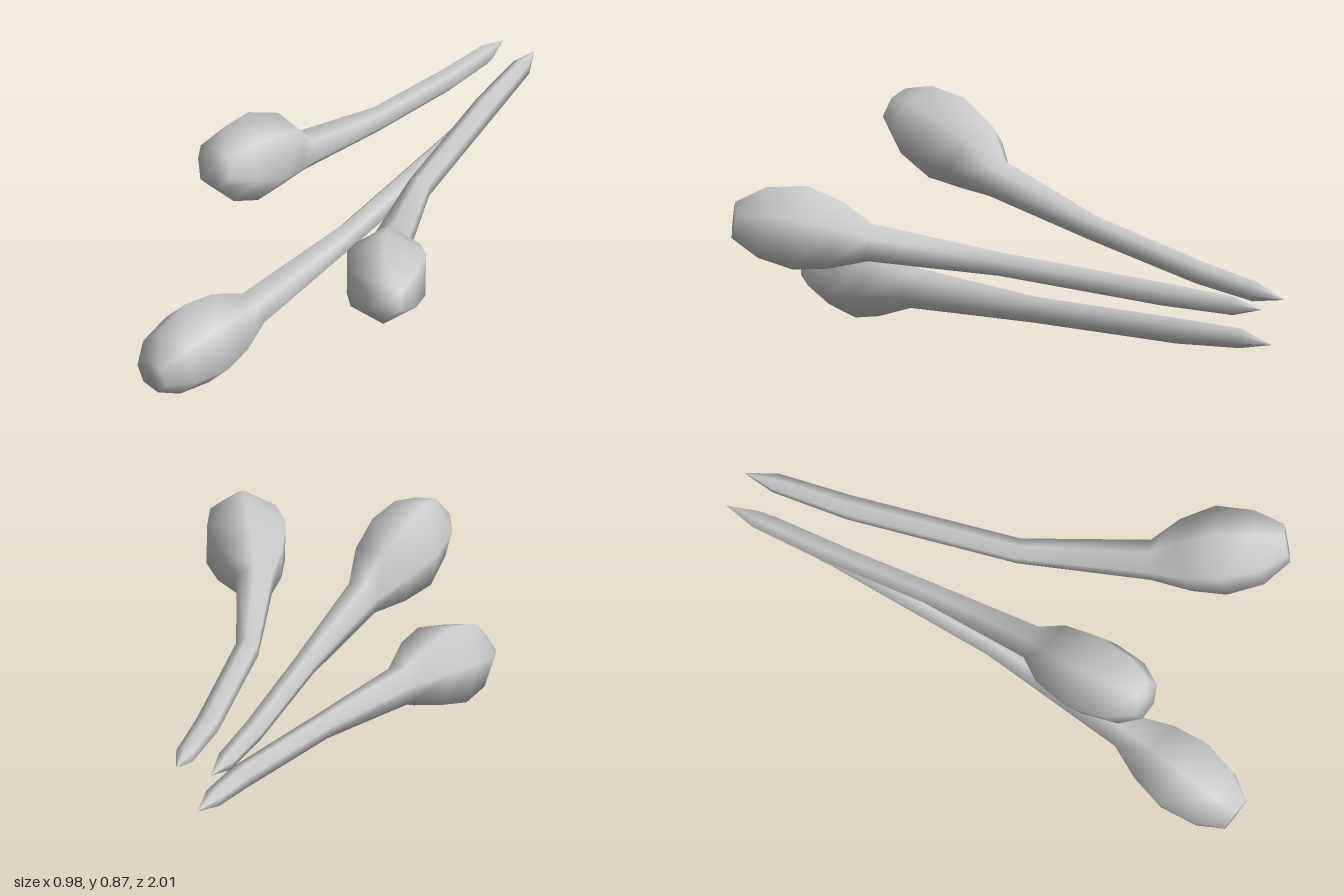
import * as THREE from 'three';

const SIDES = 6;

// Skin six-sided rings along a centre line; each station is [x, y, z, radius]
function stalkGeometry(stations, phase) {
  const centres = stations.map(([x, y, z]) => new THREE.Vector3(x, y, z));
  const last = centres.length - 1;
  const up = new THREE.Vector3(0, 1, 0);
  const positions = [];
  const index = [];

  centres.forEach((c, i) => {
    const tangent = centres[Math.min(i + 1, last)].clone()
      .sub(centres[Math.max(i - 1, 0)]).normalize();
    const across = up.clone().cross(tangent).normalize();
    const rise = tangent.clone().cross(across);
    const r = stations[i][3] * 1.04;
    for (let j = 0; j < SIDES; j++) {
      const a = phase + (j / SIDES) * Math.PI * 2;
      const p = c.clone()
        .addScaledVector(across, r * Math.cos(a))
        .addScaledVector(rise, r * Math.sin(a));
      positions.push(p.x, p.y, p.z);
    }
  });

  for (let i = 0; i < last; i++) {
    for (let j = 0; j < SIDES; j++) {
      const a = i * SIDES + j;
      const b = i * SIDES + (j + 1) % SIDES;
      if (i > 0) index.push(a, b, a + SIDES);
      index.push(b, b + SIDES, a + SIDES);
    }
  }

  // Close the blunt end of the bulb
  const end = centres[last];
  positions.push(end.x, end.y, end.z);
  const hub = (last + 1) * SIDES;
  for (let j = 0; j < SIDES; j++) {
    index.push(hub, last * SIDES + j, last * SIDES + (j + 1) % SIDES);
  }

  const geometry = new THREE.BufferGeometry();
  geometry.setAttribute('position', new THREE.Float32BufferAttribute(positions, 3));
  geometry.setIndex(index);
  geometry.computeVertexNormals();
  return geometry;
}

// Pointed tip, thin shaft, neck, then four rings of the bulb
const STALKS = [
  { name: 'upperRightStalk', phase: 50, stations: [
    [-0.07, 0.45, -1.0, 0], [-0.083, 0.455, -0.88, 0.033], [-0.112, 0.475, -0.65, 0.038],
    [-0.16, 0.545, -0.22, 0.041], [-0.235, 0.63, 0.19, 0.065], [-0.27, 0.68, 0.29, 0.12],
    [-0.305, 0.715, 0.42, 0.147], [-0.33, 0.75, 0.55, 0.125], [-0.345, 0.775, 0.635, 0.07],
  ] },
  { name: 'leftStalk', phase: 30, stations: [
    [0.06, 0.455, -0.98, 0], [0.065, 0.452, -0.87, 0.033], [0.07, 0.45, -0.6, 0.041],
    [0.117, 0.47, 0, 0.042], [0.23, 0.51, 0.44, 0.067], [0.28, 0.535, 0.55, 0.122],
    [0.33, 0.56, 0.66, 0.15], [0.38, 0.575, 0.78, 0.125], [0.425, 0.585, 0.865, 0.065],
  ] },
  { name: 'lowerRightStalk', phase: 45, stations: [
    [-0.015, 0.30, -0.98, 0], [-0.03, 0.297, -0.85, 0.033], [-0.05, 0.273, -0.6, 0.042],
    [-0.145, 0.213, 0, 0.043], [-0.265, 0.16, 0.53, 0.068], [-0.305, 0.155, 0.66, 0.125],
    [-0.34, 0.145, 0.77, 0.148], [-0.38, 0.13, 0.9, 0.122], [-0.405, 0.115, 0.985, 0.065],
  ] },
];

export function createModel() {
  const model = new THREE.Group();
  model.name = 'stalks';
  const material = new THREE.MeshStandardMaterial({ color: 0xcccccc });
  for (const { name, phase, stations } of STALKS) {
    const mesh = new THREE.Mesh(
      stalkGeometry(stations, THREE.MathUtils.degToRad(phase)), material);
    mesh.name = name;
    model.add(mesh);
  }
  return model;
}
